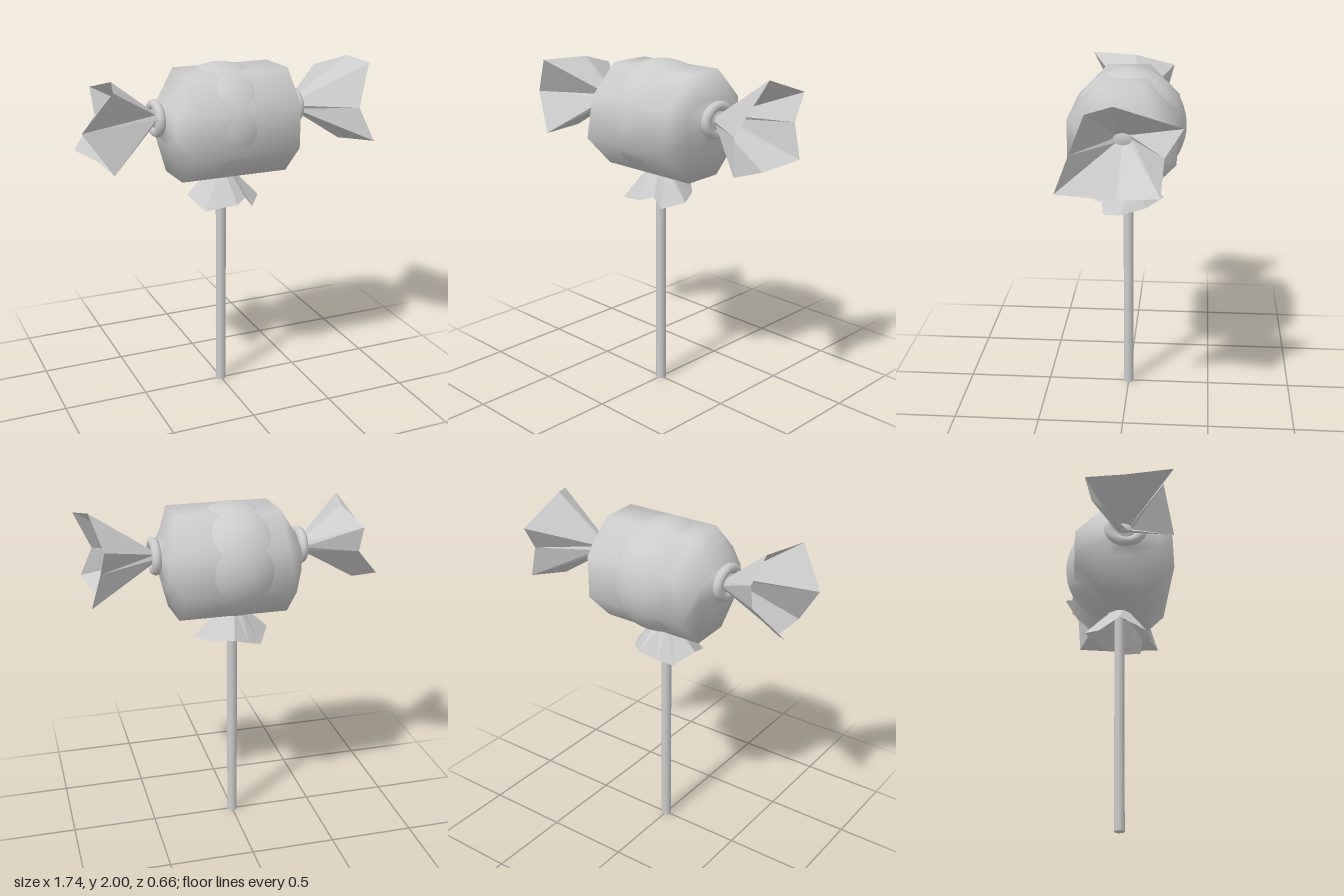
import * as THREE from 'three';

const smooth = new THREE.MeshStandardMaterial({ color: 0xcccccc, side: THREE.DoubleSide });
const faceted = new THREE.MeshStandardMaterial({ color: 0xcccccc, side: THREE.DoubleSide, flatShading: true });

// Skin a list of closed rings ([x, y, z] points) with quads
function loft(rings) {
  const n = rings[0].length, index = [];
  for (let r = 0; r < rings.length - 1; r++) {
    for (let i = 0; i < n; i++) {
      const a = r * n + i, b = r * n + (i + 1) % n;
      index.push(a, b, a + n, b, b + n, a + n);
    }
  }
  const geo = new THREE.BufferGeometry();
  geo.setAttribute('position', new THREE.Float32BufferAttribute(rings.flat(2), 3));
  geo.setIndex(index);
  geo.computeVertexNormals();
  return geo;
}

// Eight-sided ring around the x axis; x may depend on the side of the ring
function ringX(x, cy, cz, ry, rz, turn = 0) {
  return Array.from({ length: 8 }, (_, i) => {
    const a = (i + turn) * Math.PI / 4, c = Math.cos(a), s = Math.sin(a);
    return [typeof x === 'function' ? x(c, s) : x, cy + ry * c, cz + rz * s];
  });
}

export function createModel() {
  const group = new THREE.Group();
  const add = (name, geo, mat, x = 0, y = 0, z = 0) => {
    const mesh = new THREE.Mesh(geo, mat);
    mesh.name = name;
    mesh.position.set(x, y, z);
    group.add(mesh);
    return mesh;
  };

  // Stick and candy ball
  add('stick', new THREE.CylinderGeometry(0.03, 0.03, 1.45, 16), smooth, 0, 0.725, 0);
  add('candyBall', new THREE.SphereGeometry(0.328, 40, 28), smooth, 0, 1.672, -0.004);

  // Wrapper barrel, pinched towards both knots and closed inside them
  const knotY = 1.718;
  add('wrapper', loft([
    ringX(-0.415, knotY, 0, 0.001, 0.001, 0.5),
    ringX(-0.41, knotY, 0, 0.075, 0.085, 0.5),
    ringX(-0.37, 1.70, 0.01, 0.085, 0.1, 0.5),
    ringX(-0.355, 1.69, 0.013, 0.13, 0.22, 0.5),
    ringX((c, s) => (c > 0 ? -0.25 : -0.30) + (s > 0 ? 0.01 : 0), 1.667, 0.013, 0.327, 0.322, 0.5),
    ringX((c, s) => (s > 0 ? 0.352 : 0.335), 1.667, 0.013, 0.327, 0.322, 0.5),
    ringX(0.402, 1.69, 0.013, 0.15, 0.22, 0.5),
    ringX(0.42, 1.70, 0.01, 0.085, 0.1, 0.5),
    ringX(0.455, knotY, 0, 0.075, 0.085, 0.5),
    ringX(0.46, knotY, 0, 0.001, 0.001, 0.5),
  ]), smooth);

  // Knots: slightly oval rings
  for (const [name, x] of [['rightKnot', -0.4], ['leftKnot', 0.447]]) {
    const knot = add(name, new THREE.TorusGeometry(0.078, 0.028, 12, 28), smooth, x, knotY, 0.012);
    knot.rotation.y = Math.PI / 2;
    knot.scale.x = 1.2;
  }

  // Crumpled wrapper ends: rim points run from the top round by the front
  const leftRim = [
    [0.80, 1.985, 0.02], [0.87, 1.96, 0.155], [0.765, 1.72, 0.25], [0.83, 1.535, 0.32],
    [0.765, 1.485, 0.01], [0.835, 1.525, -0.22], [0.78, 1.72, -0.235], [0.765, 1.87, -0.33],
  ];
  const rightRim = [
    [-0.645, 1.94, 0], [-0.715, 1.94, 0.27], [-0.87, 1.72, 0.19], [-0.72, 1.49, 0.26],
    [-0.735, 1.50, 0], [-0.84, 1.55, -0.11], [-0.69, 1.72, -0.2], [-0.70, 1.87, -0.24],
  ];
  add('leftFan', loft([ringX(0.45, 1.72, 0, 0.03, 0.05), leftRim]), faceted);
  add('rightFan', loft([rightRim, ringX(-0.405, 1.72, 0, 0.03, 0.05)]), faceted);

  // Gathered skirt under the ball
  const skirtTop = Array.from({ length: 10 }, (_, i) => {
    const a = i * Math.PI / 5;
    return [0.065 * Math.sin(a), 1.37, 0.065 * Math.cos(a)];
  });
  const skirtRim = [
    [0.02, 1.21, 0.2], [0.09, 1.23, 0.15], [0.14, 1.17, 0.14], [0.225, 1.20, 0.03], [0.15, 1.22, -0.11],
    [0.04, 1.25, -0.21], [-0.06, 1.21, -0.17], [-0.14, 1.18, -0.13], [-0.21, 1.24, -0.01], [-0.16, 1.18, 0.15],
  ];
  add('skirt', loft([skirtRim, skirtTop]), faceted);

  return group;
}
